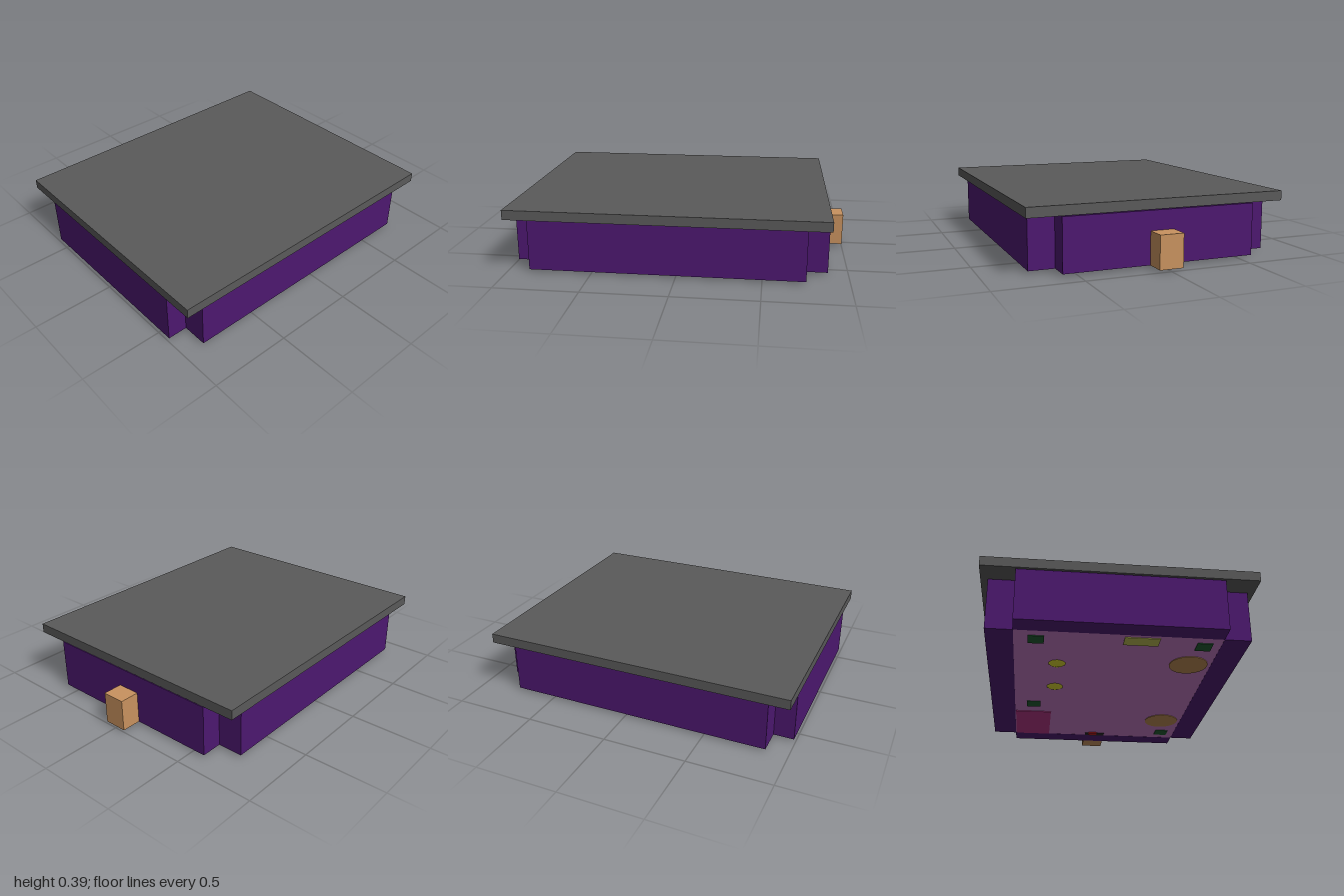
import * as THREE from 'three';

export function createModel() {
  const model = new THREE.Group();
  const materials = {};
  const mat = (color) => (materials[color] ??= new THREE.MeshStandardMaterial({ color, flatShading: true }));

  function add(name, geometry, color, x, y, z) {
    const mesh = new THREE.Mesh(geometry, mat(color));
    mesh.name = name;
    mesh.position.set(x, y, z);
    model.add(mesh);
    return mesh;
  }
  // Box given by its minimum and maximum along each axis
  function block(name, color, [x0, x1], [y0, y1], [z0, z1]) {
    return add(name, new THREE.BoxGeometry(x1 - x0, y1 - y0, z1 - z0), color,
      (x0 + x1) / 2, (y0 + y1) / 2, (z0 + z1) / 2);
  }
  // Furnishing standing in the floor, its base just showing underneath
  function footing(name, color, x, z, w, d, height = 0.05) {
    return block(name, color, [x - w / 2, x + w / 2], [0.011, height], [z - d / 2, z + d / 2]);
  }

  const PURPLE = 0x4d1870;
  const wallY = [0.014, 0.325];
  const innerX = [-0.87, 0.75];
  const innerZ = [-0.585, 0.585];

  // Flat roof slab
  block('roof', 0x5a5a5a, [-1, 0.88], [0.329, 0.387], [-0.782, 0.782]);

  // Four thick walls that meet at notched corners
  block('frontWall', PURPLE, innerX, wallY, [0.585, 0.74]);
  block('backWall', PURPLE, innerX, wallY, [-0.74, -0.585]);
  block('leftWall', PURPLE, [0.75, 0.88], wallY, innerZ);
  block('rightWall', PURPLE, [-0.99, -0.87], wallY, innerZ);

  // Floor between the walls
  block('floor', 0xc078c0, innerX, [0.015, 0.03], innerZ);

  // Chimney block outside the left wall
  block('chimney', 0xc9935f, [0.88, 1], [0.014, 0.21], [-0.072, 0.072]);

  // Hearth and fire on the inside of the same wall
  footing('hearth', 0x2a2a2a, 0.725, 0, 0.05, 0.14, 0.18);
  block('fire', 0xb01818, [0.69, 0.735], [0.009, 0.08], [-0.045, 0.015]);

  // Plant pots near the corners
  for (const [x, z] of [[0.17, -0.46], [-0.77, -0.46], [0.64, 0.49], [-0.77, 0.49]]) {
    footing('plantPot', 0x205a30, x, z, 0.09, 0.09, 0.1);
  }

  // Round tables along the front
  for (const x of [0.4, -0.53]) {
    add('roundTable', new THREE.CylinderGeometry(0.115, 0.115, 0.06, 24), 0xbb8a53, x, 0.041, 0.45);
  }

  // Bed in the back left corner, cabinet by the right wall
  footing('bed', 0xb43685, 0.525, -0.46, 0.44, 0.24, 0.1);
  footing('cabinet', 0xbbbb53, -0.8, 0.13, 0.09, 0.2, 0.15);

  // Rounded stools sunk slightly through the floor
  for (const x of [-0.13, -0.47]) {
    const stool = add('stool', new THREE.SphereGeometry(0.065, 10, 8), 0xd8d430, x, 0.035, -0.33);
    stool.scale.y = 0.035 / 0.065;
  }

  return model;
}
